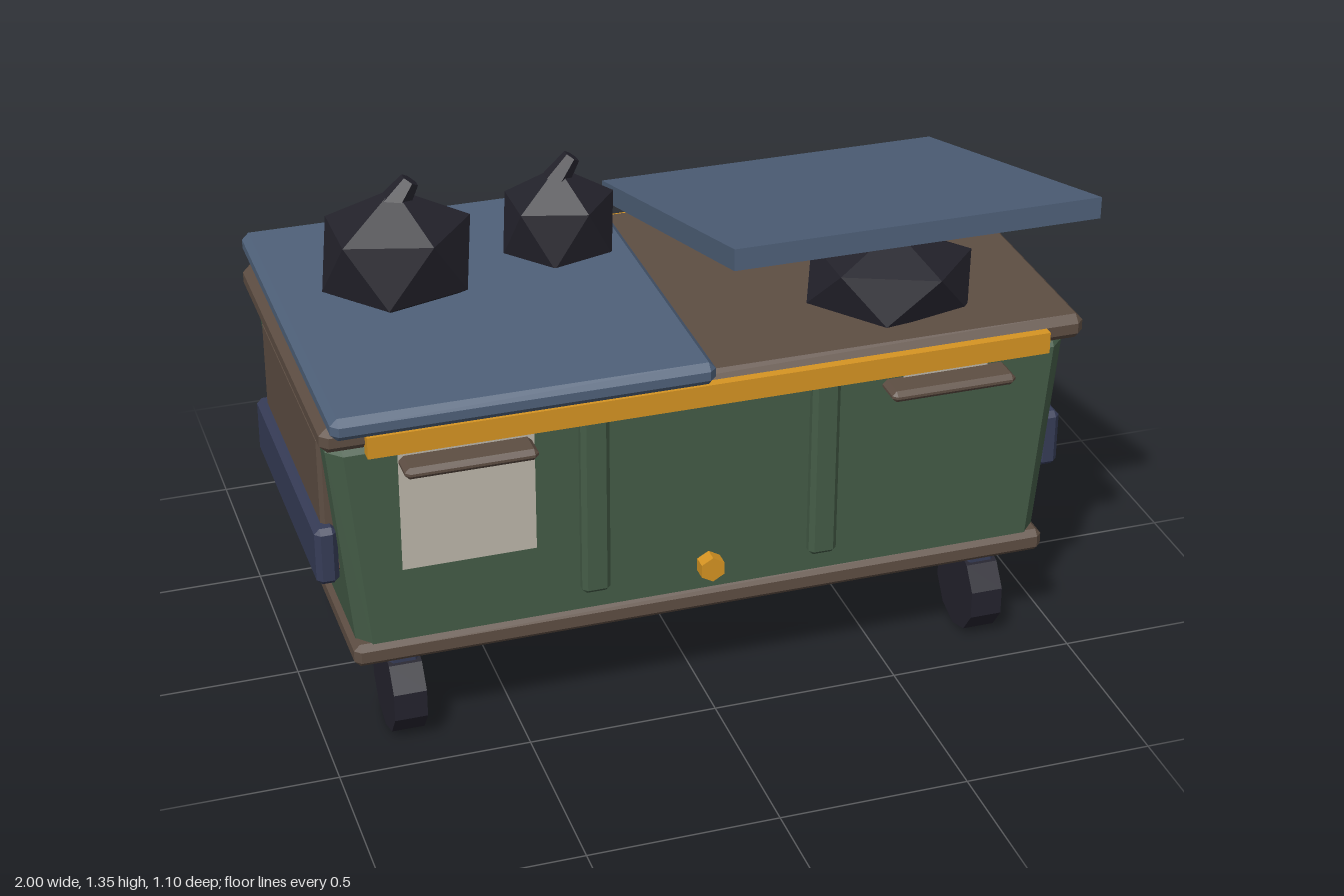
import * as THREE from 'three';
import { ConvexGeometry } from 'three/addons/geometries/ConvexGeometry.js';

function makeMaterial(name, color, side = THREE.FrontSide) {
  const m = new THREE.MeshStandardMaterial({ color, side, flatShading: true });
  m.name = name;
  return m;
}

// Box with flat chamfers, given by its limits; taper(y) scales x by height
function chamferBox(x0, x1, y0, y1, z0, z1, b, taper = () => 1) {
  const c = [(x0 + x1) / 2, (y0 + y1) / 2, (z0 + z1) / 2];
  const h = [(x1 - x0) / 2, (y1 - y0) / 2, (z1 - z0) / 2];
  const points = [];
  for (const sx of [-1, 1]) for (const sy of [-1, 1]) for (const sz of [-1, 1]) {
    for (let full = 0; full < 3; full++) {
      const p = [sx, sy, sz].map((s, i) => c[i] + s * (h[i] - (i === full ? 0 : b)));
      points.push(new THREE.Vector3(p[0] * taper(p[1]), p[1], p[2]));
    }
  }
  return new ConvexGeometry(points);
}

function box(x0, x1, y0, y1, z0, z1) {
  return new THREE.BoxGeometry(x1 - x0, y1 - y0, z1 - z0)
    .translate((x0 + x1) / 2, (y0 + y1) / 2, (z0 + z1) / 2);
}

export function createModel() {
  const green = makeMaterial('bodyGreen', 0x445c47);
  const brown = makeMaterial('rustBrown', 0x5e4e43);
  const blue = makeMaterial('lidBlue', 0x4f617a);
  const navy = makeMaterial('bumperNavy', 0x363c57);
  const yellow = makeMaterial('trimYellow', 0xd69422);
  const rubber = makeMaterial('wheelRubber', 0x24232e);
  const black = makeMaterial('bagBlack', 0x23222b);
  const paper = makeMaterial('paper', 0xbdb7aa, THREE.DoubleSide);

  const root = new THREE.Group();
  root.name = 'dumpster';
  const add = (name, geometry, material, parent = root) => {
    const mesh = new THREE.Mesh(geometry, material);
    mesh.name = name;
    parent.add(mesh);
    return mesh;
  };

  // Tapered body with rims
  const taper = (y) => 0.937 + (0.063 * (y - 0.27)) / 0.65;
  add('body', chamferBox(-0.974, 0.974, 0.27, 0.92, -0.434, 0.434, 0.038, taper), green);
  add('bottomRim', chamferBox(-0.932, 0.932, 0.275, 0.338, -0.447, 0.447, 0.016), brown);
  add('topRim', chamferBox(-0.995, 0.995, 0.917, 0.985, -0.48, 0.48, 0.02), brown);

  // Lids: one closed, one raised towards the front
  add('closedLid', chamferBox(-0.98, -0.018, 0.984, 1.044, -0.547, 0.547, 0.018), blue);
  const openLid = box(0.02, 0.98, 0, 0.058, -0.548, 0.548);
  const pos = openLid.attributes.position;
  for (let i = 0; i < pos.count; i++) {
    pos.setY(i, pos.getY(i) + 1.141 + 0.276 * pos.getZ(i));
  }
  openLid.computeVertexNormals();
  add('openLid', openLid, blue);

  // Yellow bars front and back
  add('frontBar', box(-0.887, 0.887, 0.907, 0.965, 0.47, 0.505), yellow);
  add('backBar', box(-0.887, 0.887, 0.907, 0.965, -0.505, -0.47), yellow);

  // Parts mirrored left and right
  for (const s of [-1, 1]) {
    const side = new THREE.Group();
    side.name = s > 0 ? 'leftSide' : 'rightSide';
    root.add(side);
    const mirrored = (a, b) => (s > 0 ? [a, b] : [-b, -a]);

    add('sidePanel', chamferBox(...mirrored(0.9, 0.977), 0.5, 0.886, -0.333, 0.333, 0.01), brown, side);
    add('bumper', chamferBox(...mirrored(0.942, 1.0), 0.483, 0.643, -0.366, 0.366, 0.014), navy, side);
    add('frontRib', chamferBox(...mirrored(0.267, 0.342), 0.39, 0.896, 0.42, 0.463, 0.012), green, side);
    add('handle', chamferBox(...mirrored(0.462, 0.798), 0.832, 0.863, 0.42, 0.513, 0.012), brown, side);
    add('hinge', box(...mirrored(0.39, 0.61), 0.943, 1.0, -0.537, -0.455), brown, side);

    for (const z of [-0.306, 0.306]) {
      const wheel = new THREE.CylinderGeometry(0.123, 0.123, 0.086, 10)
        .rotateY(Math.PI / 10).rotateZ(Math.PI / 2).translate(s * 0.791, 0.123, z);
      add('wheel', wheel, rubber, side);
      add('wheelMount', chamferBox(...mirrored(0.752, 0.83), 0.18, 0.3, z - 0.065, z + 0.065, 0.01), navy, side);
    }
  }

  // Drain plug
  add('drainPlug', new THREE.CylinderGeometry(0.035, 0.035, 0.05, 6)
    .rotateX(Math.PI / 2).translate(0, 0.408, 0.447), yellow);

  // Paper sheets on the front
  const sheet = (name, corners) => {
    const shape = new THREE.Shape(corners.map(([x, y]) => new THREE.Vector2(x, y)));
    add(name, new THREE.ShapeGeometry(shape).translate(0, 0, 0.438), paper);
  };
  sheet('largePaper', [[-0.8, 0.54], [-0.455, 0.54], [-0.455, 0.888], [-0.8, 0.888]]);
  sheet('smallPaper', [[0.517, 0.817], [0.745, 0.817], [0.748, 0.885], [0.735, 0.907], [0.525, 0.907], [0.517, 0.885]]);

  // Rubbish bags: icosahedra standing on a corner, with optional tilted knots
  const bag = (center, radii, tilt, knot) => {
    const group = new THREE.Group();
    group.name = 'rubbishBag';
    root.add(group);
    const sack = new THREE.IcosahedronGeometry(1, 0)
      .rotateZ(-Math.atan(2 / (1 + Math.sqrt(5))))
      .scale(...radii).rotateZ(tilt).translate(...center);
    add('sack', sack, black, group);
    if (knot) {
      const [x, y, z, top, base, height] = knot;
      add('knot', new THREE.CylinderGeometry(top, base, height, 6)
        .rotateZ(-0.62).translate(x, y, z), black, group);
    }
  };
  bag([-0.66, 1.138, -0.105], [0.219, 0.18, 0.192], 0, [-0.644, 1.3, -0.102, 0.025, 0.045, 0.09]);
  bag([-0.203, 1.11, -0.207], [0.168, 0.16, 0.15], 0, [-0.188, 1.263, -0.204, 0.023, 0.037, 0.08]);
  bag([0.555, 1.045, 0.226], [0.248, 0.133, 0.202], -0.07);

  return root;
}
